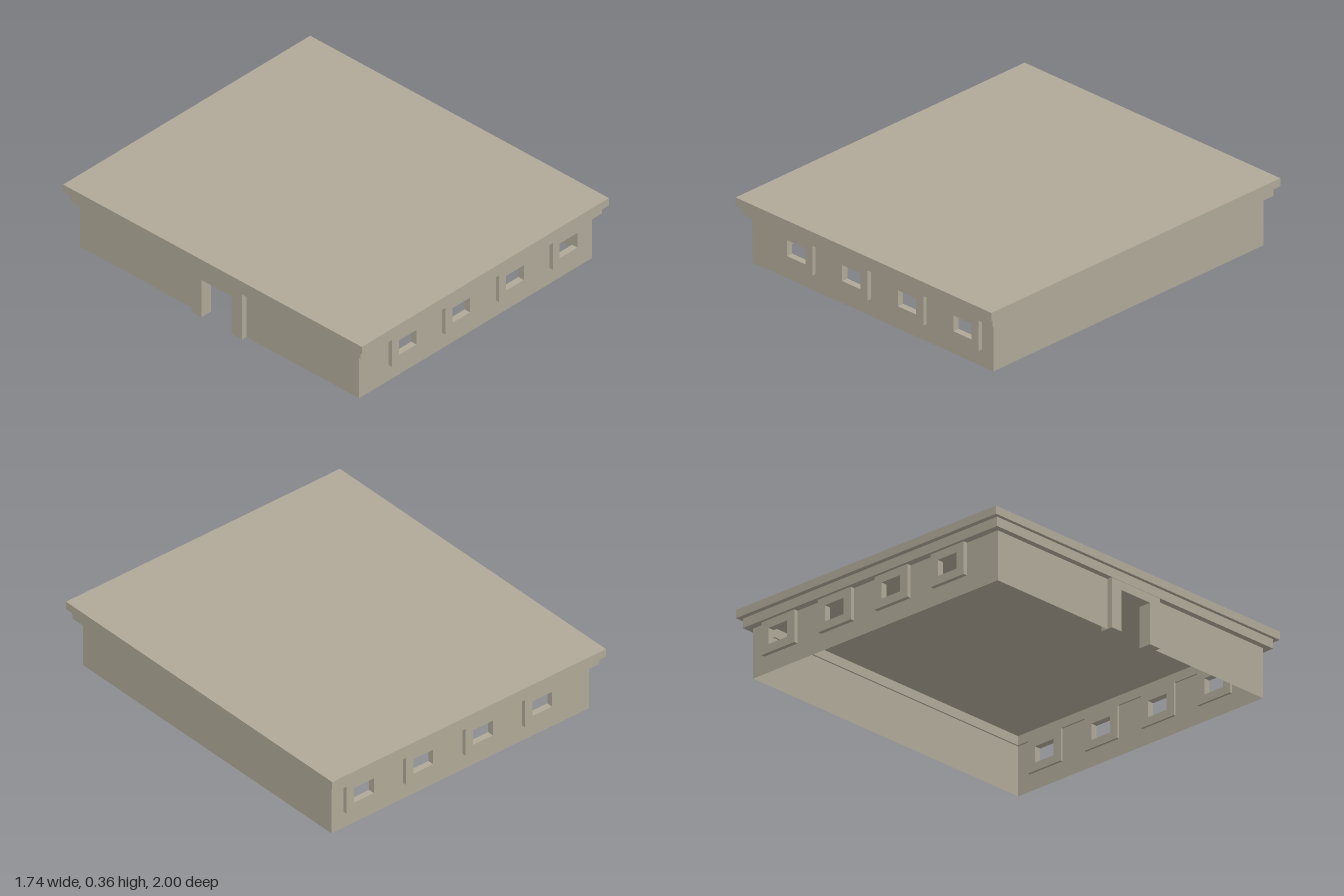
import * as THREE from 'three';

const WALL_X = 0.82, WALL_Z = 0.934, WALL_H = 0.268, CEILING = 0.318;
const windowXs = [-0.502, -0.125, 0.254, 0.632];
const windowHole = { w: 0.125, y0: 0.137, y1: 0.224 };
const windowFrame = { w: 0.221, y0: 0.093, y1: WALL_H, inner: 0.921, depth: 0.036 };
const door = { z0: -0.162, z1: 0.178, in0: -0.095, in1: 0.107, top: 0.222, depth: 0.07 };

// Closed outline from a list of points
function outline(points, Type = THREE.Shape) {
  return new Type(points.map(([x, y]) => new THREE.Vector2(x, y)));
}

function rect(x0, y0, x1, y1, Type) {
  return outline([[x0, y0], [x1, y0], [x1, y1], [x0, y1]], Type);
}

// Upright shape with a doorway notch open at the ground
function notched(x0, x1) {
  const { in0, in1, top } = door;
  return outline([[x0, 0], [in0, 0], [in0, top], [in1, top], [in1, 0], [x1, 0], [x1, WALL_H], [x0, WALL_H]]);
}

function windowOpening(x) {
  return rect(x - windowHole.w / 2, windowHole.y0, x + windowHole.w / 2, windowHole.y1, THREE.Path);
}

function plate(shape, depth) {
  return new THREE.ExtrudeGeometry(shape, { depth, bevelEnabled: false });
}

export function createModel() {
  const model = new THREE.Group();
  const stone = new THREE.MeshStandardMaterial({ color: 0xb0a998, side: THREE.DoubleSide });
  stone.name = 'stone';

  function add(name, geometry, parent = model) {
    const mesh = new THREE.Mesh(geometry, stone);
    mesh.name = name;
    parent.add(mesh);
    return mesh;
  }

  // Flat roof slab, whose underside is the ceiling
  add('roofSlab', new THREE.BoxGeometry(1.742, 0.362 - CEILING, 2)).position.y = (0.362 + CEILING) / 2;

  // Cornice ring running around the wall tops
  const ring = rect(-0.852, -0.973, 0.852, 0.973);
  ring.holes.push(rect(-0.812, -0.925, 0.812, 0.925, THREE.Path));
  const cornice = add('cornice', plate(ring, CEILING - WALL_H));
  cornice.rotation.x = -Math.PI / 2;
  cornice.position.y = WALL_H;

  // Front and back thin walls, each with four framed windows
  for (const [side, sign] of [['front', 1], ['back', -1]]) {
    const group = new THREE.Group();
    group.name = side + 'Side';
    const wallShape = rect(-WALL_X, 0, WALL_X, WALL_H);
    windowXs.forEach(x => wallShape.holes.push(windowOpening(x)));
    add(side + 'Wall', new THREE.ShapeGeometry(wallShape), group).position.z = sign * WALL_Z;

    // Frames stand out on both faces of the wall
    const { w, y0, y1, inner, depth } = windowFrame;
    for (const x of windowXs) {
      const frame = rect(x - w / 2, y0, x + w / 2, y1);
      frame.holes.push(windowOpening(x));
      add('windowFrame', plate(frame, depth), group).position.z = sign > 0 ? inner : -inner - depth;
    }
    model.add(group);
  }

  // Plain side wall
  const leftWall = add('leftWall', new THREE.PlaneGeometry(2 * WALL_Z, WALL_H));
  leftWall.rotation.y = Math.PI / 2;
  leftWall.position.set(WALL_X, WALL_H / 2, 0);

  // Side wall with the doorway; shape x becomes world z
  const doorSide = new THREE.Group();
  doorSide.name = 'doorSide';
  doorSide.rotation.y = -Math.PI / 2;
  doorSide.position.x = -WALL_X;
  add('doorWall', new THREE.ShapeGeometry(notched(-WALL_Z, WALL_Z)), doorSide);
  add('doorFrame', plate(notched(door.z0, door.z1), door.depth), doorSide).position.z = -0.04;
  model.add(doorSide);

  return model;
}
